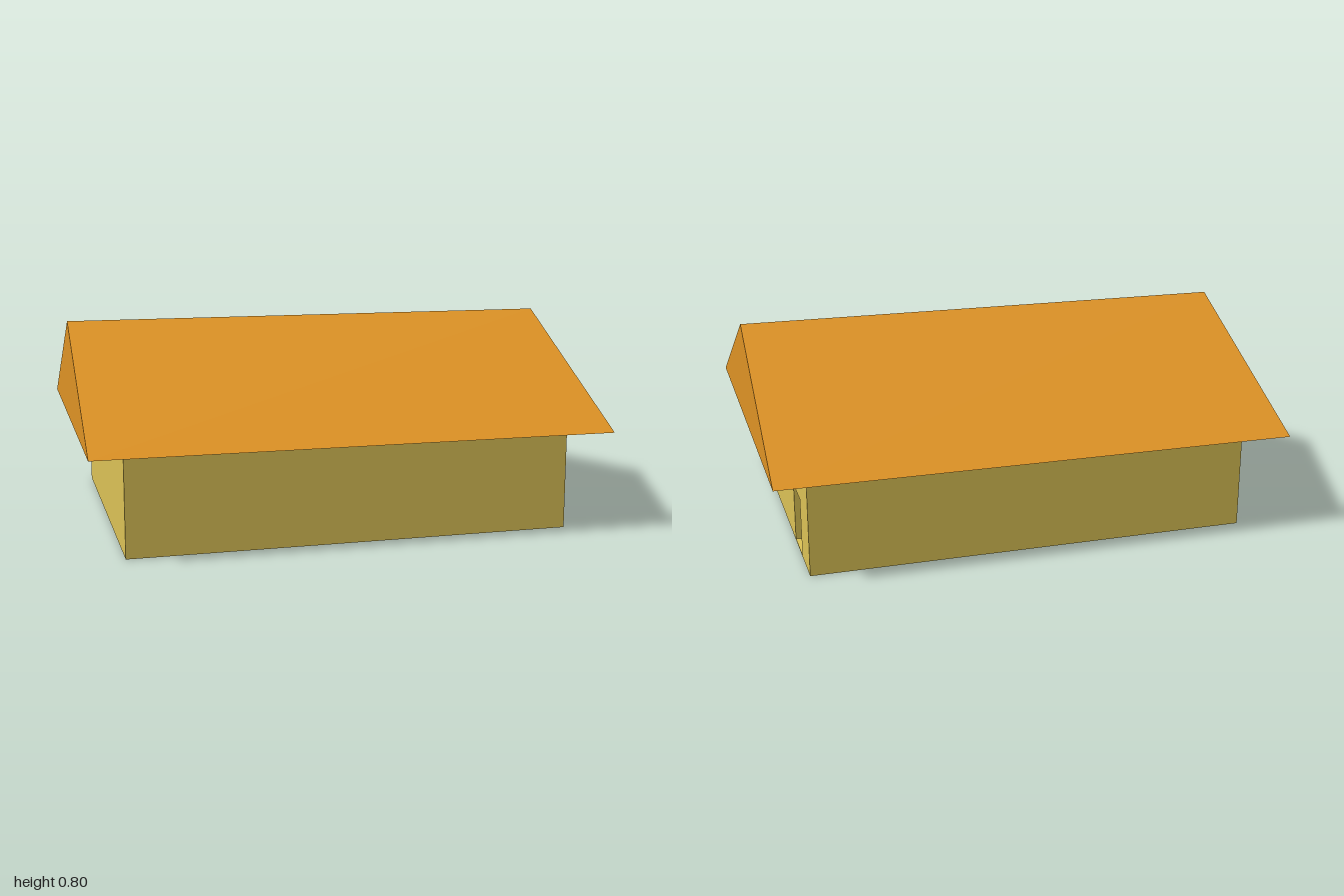
import * as THREE from 'three';

const WALL_X = 0.865, WALL_Z = 0.667, EAVE = 0.4, RECESS = 0.036;

// Extrudes a side profile (u = -z, v = y) along x, starting at x0.
function extrudeAlongX(points, x0, depth, hole) {
  const toVectors = (list) => list.map(([u, v]) => new THREE.Vector2(u, v));
  const shape = new THREE.Shape(toVectors(points));
  if (hole) shape.holes.push(new THREE.Path(toVectors(hole)));
  const geometry = new THREE.ExtrudeGeometry(shape, { depth, bevelEnabled: false });
  return geometry.rotateY(Math.PI / 2).translate(x0, 0, 0);
}

export function createModel() {
  const model = new THREE.Group();
  model.name = 'house';

  const wallMaterial = new THREE.MeshStandardMaterial({ color: 0xdec457 });
  wallMaterial.name = 'wall yellow';
  const roofMaterial = new THREE.MeshStandardMaterial({ color: 0xe09425 });
  roofMaterial.name = 'roof orange';

  const add = (name, geometry, material) => {
    const mesh = new THREE.Mesh(geometry, material);
    mesh.name = name;
    model.add(mesh);
  };

  // Main body, stopping short of the doorway side by the recess depth
  const length = 2 * WALL_X - RECESS;
  const body = new THREE.BoxGeometry(length, EAVE, 2 * WALL_Z);
  body.translate(-RECESS / 2, EAVE / 2, 0);
  add('walls', body, wallMaterial);

  // Side wall with the shallow doorway cut into it, over a thin sill
  const wallOutline = [[-WALL_Z, 0], [WALL_Z, 0], [WALL_Z, EAVE], [-WALL_Z, EAVE]];
  const doorway = [[0.325, 0.004], [0.325, 0.233], [0.485, 0.233], [0.485, 0.004]];
  add('doorwayWall', extrudeAlongX(wallOutline, WALL_X - RECESS, RECESS, doorway), wallMaterial);

  // Solid gabled roof overhanging all four walls
  add('roof', extrudeAlongX([[-0.8, EAVE], [0.8, EAVE], [0, 0.8]], -1, 2), roofMaterial);

  return model;
}
